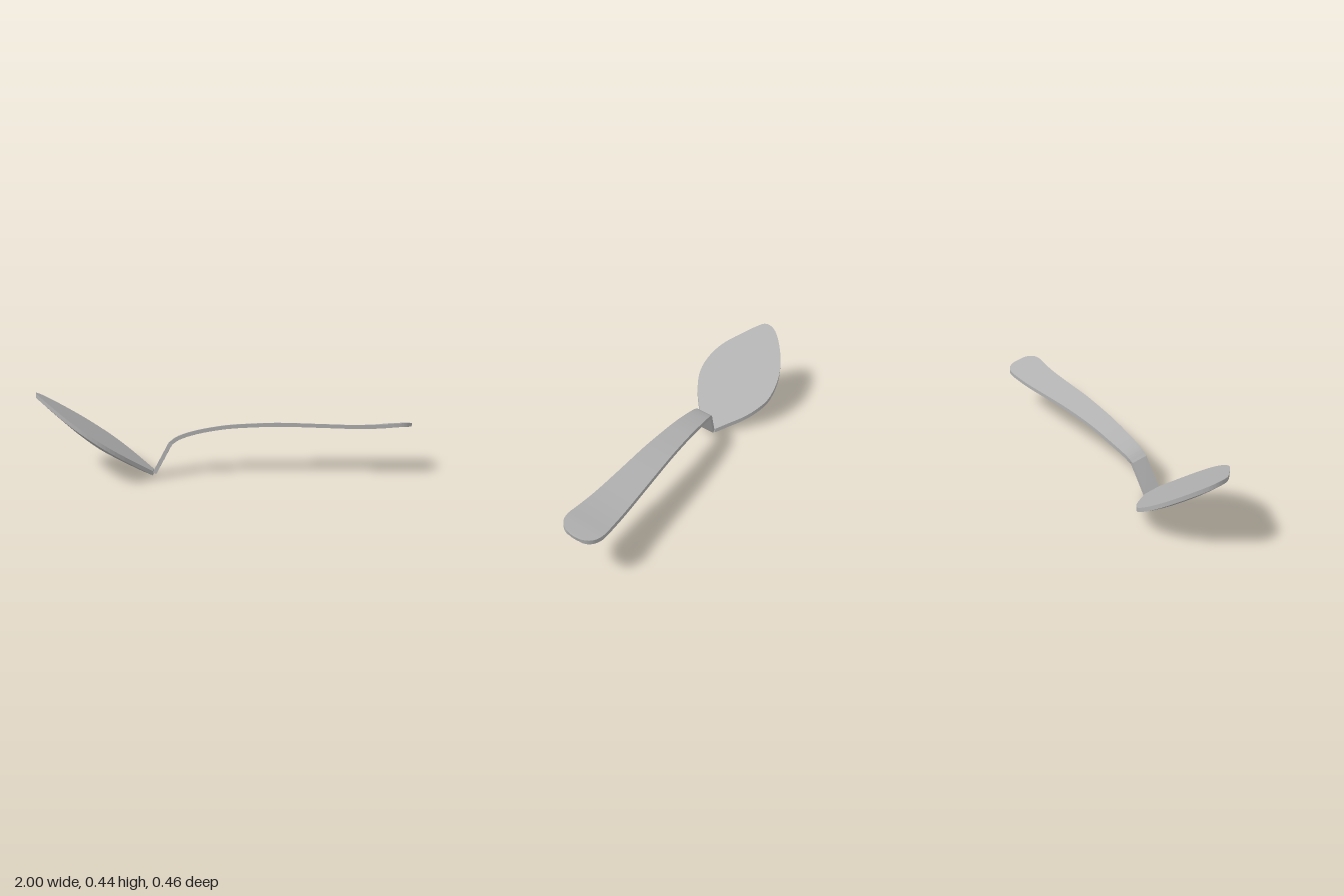
import * as THREE from 'three';

// Skin a series of equal-length rings and close both ends with fans
function loft(rings) {
  const pos = [];
  const tri = (...pts) => pts.forEach((p) => pos.push(p.x, p.y, p.z));
  const n = rings[0].length;
  for (let r = 0; r < rings.length - 1; r++) {
    for (let i = 0; i < n; i++) {
      const j = (i + 1) % n;
      const a = rings[r][i], b = rings[r][j], c = rings[r + 1][j], d = rings[r + 1][i];
      tri(a, d, b);
      tri(b, d, c);
    }
  }
  const cap = (ring, flip) => {
    const mid = ring.reduce((s, p) => s.add(p), new THREE.Vector3()).divideScalar(n);
    for (let i = 0; i < n; i++) {
      const p = ring[i], q = ring[(i + 1) % n];
      if (flip) tri(mid, q, p);
      else tri(mid, p, q);
    }
  };
  cap(rings[0], false);
  cap(rings[rings.length - 1], true);
  const geo = new THREE.BufferGeometry();
  geo.setAttribute('position', new THREE.Float32BufferAttribute(pos, 3));
  geo.computeVertexNormals();
  return geo;
}

// Leaf-shaped blade: flat sloping top, thin rim, shallow domed underside
function bladeGeometry() {
  const outline = [
    [-0.385, -0.005], [-0.44, -0.065], [-0.5, -0.13], [-0.56, -0.18], [-0.63, -0.22], [-0.7, -0.231],
    [-0.77, -0.226], [-0.84, -0.203], [-0.92, -0.155], [-0.98, -0.1], [-0.999, -0.06], [-0.997, -0.02],
    [-0.97, 0.015], [-0.9, 0.085], [-0.81, 0.165], [-0.73, 0.208], [-0.65, 0.225], [-0.59, 0.217],
    [-0.52, 0.185], [-0.45, 0.135], [-0.385, 0.085],
  ].map(([x, z]) => new THREE.Vector3(x, 0, z));
  const edge = new THREE.CatmullRomCurve3(outline).getPoints(60);
  const plane = (x, z) => 0.03 + 0.685 * (-0.38 - x) + 0.18 * (z - 0.04);
  const ring = (scale, depth) => edge.map((p) => {
    const x = -0.68 + (p.x + 0.68) * scale;
    const z = p.z * scale;
    return new THREE.Vector3(x, plane(x, z) - depth, z);
  });
  const rim = 0.024;
  const rings = [ring(1, 0)];
  for (const s of [1, 0.85, 0.7, 0.5, 0.25]) rings.push(ring(s, rim + 0.048 * (1 - s * s)));
  return loft(rings);
}

// Cranked neck and long handle: a thin, twisted strap that widens to a round end
function handleGeometry() {
  // x, height of top face, back edge z, front edge z, sideways slope
  const stations = [
    [-0.3, 0.18, -0.024, 0.06, 0.22], [-0.25, 0.212, -0.037, 0.054, 0.24], [-0.15, 0.241, -0.052, 0.049, 0.26],
    [0, 0.265, -0.063, 0.05, 0.26], [0.15, 0.274, -0.07, 0.055, 0.26], [0.3, 0.277, -0.077, 0.061, 0.26],
    [0.5, 0.27, -0.084, 0.07, 0.26], [0.7, 0.263, -0.091, 0.081, 0.26], [0.82, 0.266, -0.096, 0.089, 0.26],
    [0.9, 0.272, -0.099, 0.093, 0.26], [0.945, 0.274, -0.09, 0.085, 0.26], [0.975, 0.275, -0.07, 0.065, 0.26],
    [0.992, 0.275, -0.042, 0.038, 0.26], [0.998, 0.274, -0.015, 0.012, 0.26],
  ];
  const edgePoint = ([x, y, z0, z1, slope], side) =>
    new THREE.Vector3(x, y + side * slope * (z1 - z0) / 2, side > 0 ? z1 : z0);
  const edge = (side) => [
    edgePoint([-0.385, 0.026, 0, 0.087, 0.2], side),
    ...new THREE.CatmullRomCurve3(stations.map((s) => edgePoint(s, side)), false, 'catmullrom').getPoints(52),
  ];
  const front = edge(1), back = edge(-1);
  const thickness = 0.021;
  const rings = front.map((f, i) => {
    const b = back[i];
    const prev = Math.max(i - 1, 0), next = Math.min(i + 1, front.length - 1);
    const dir = front[next].clone().add(back[next]).sub(front[prev]).sub(back[prev]).setZ(0).normalize();
    const down = new THREE.Vector3(dir.y, -dir.x, 0).multiplyScalar(thickness);
    return [f, b, b.clone().add(down), f.clone().add(down)];
  });
  return loft(rings);
}

export function createModel() {
  const metal = new THREE.MeshStandardMaterial({ color: 0xb2b2b2 });
  metal.name = 'brushed grey';
  const group = new THREE.Group();
  group.name = 'server';
  for (const [name, geo] of [['blade', bladeGeometry()], ['handle', handleGeometry()]]) {
    const mesh = new THREE.Mesh(geo, metal);
    mesh.name = name;
    group.add(mesh);
  }
  return group;
}
